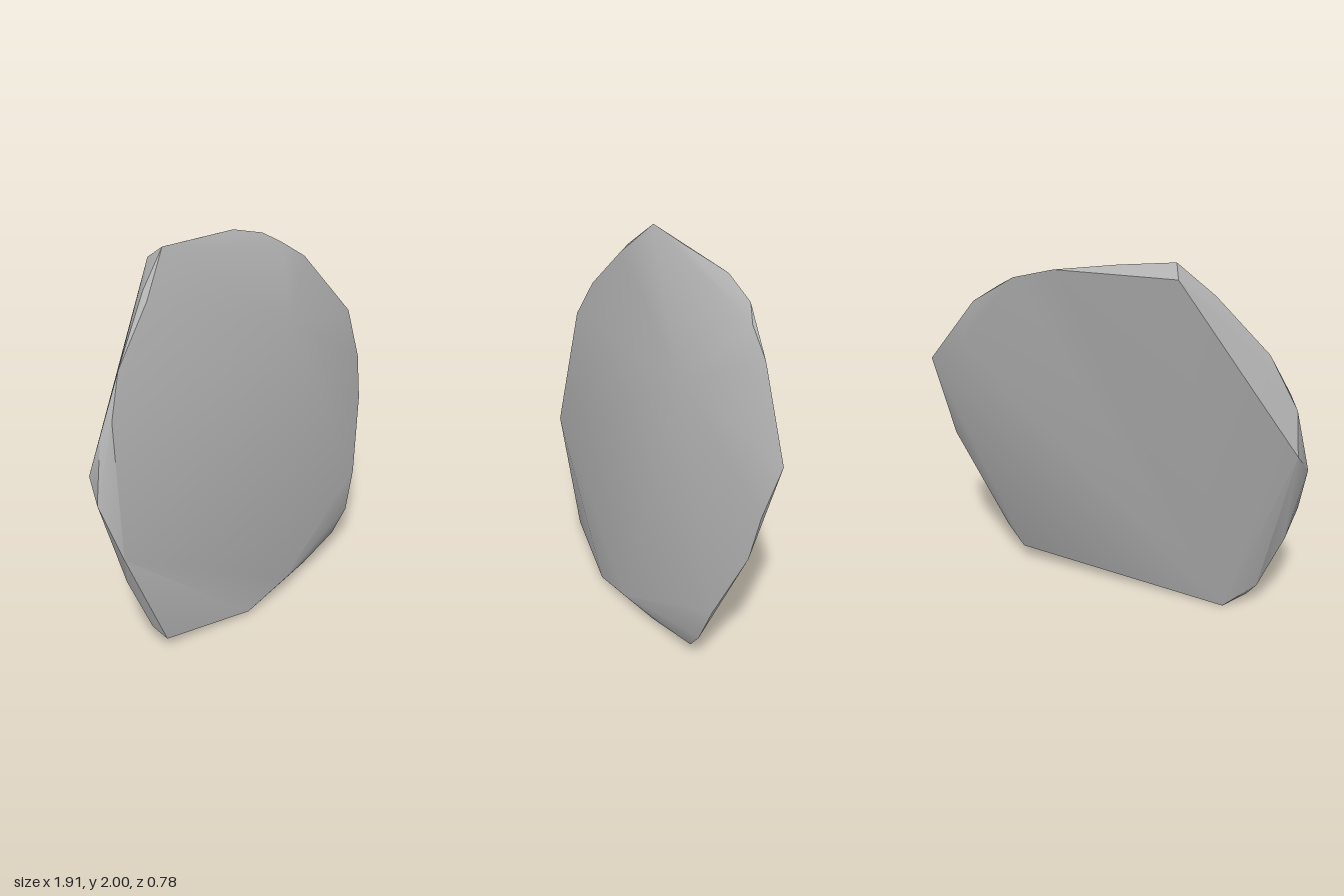
import * as THREE from 'three';
import { ConvexGeometry } from 'three/addons/geometries/ConvexGeometry.js';
import { toCreasedNormals } from 'three/addons/utils/BufferGeometryUtils.js';

export function createModel() {
  const group = new THREE.Group();
  group.name = 'rock';
  const stone = new THREE.MeshStandardMaterial({ color: 0xb0b0b0 });
  stone.name = 'grey stone';

  // corners of the weathered slab, by region
  const crown = [[-0.39, 2, -0.07], [-0.44, 1.94, -0.13], [-0.13, 1.97, -0.18], [0.15, 1.93, -0.32],
    [0.36, 1.865, -0.37], [0.47, 1.8, -0.35], [0.63, 1.69, -0.37]];
  const leftEdge = [[0.7, 1.46, -0.39], [0.945, 1.31, -0.375], [0.955, 1.06, -0.28],
    [0.94, 0.82, -0.23], [0.82, 0.43, -0.095], [0.745, 0.22, -0.05]];
  const base = [[0.645, 0.1, -0.035], [0.35, 0.06, 0.1], [0.17, 0.09, 0.21],
    [-0.12, 0.02, 0.29], [-0.54, 0, 0.23], [-0.63, 0.06, 0.33]];
  const rightEdge = [[-0.7, 0.15, 0.31], [-0.84, 0.48, 0.33], [-0.875, 0.65, 0.39], [-0.96, 0.93, 0.3],
    [-0.95, 1.04, 0.2], [-0.905, 1.26, 0.25], [-0.85, 1.33, 0.27], [-0.77, 1.54, 0.19],
    [-0.55, 1.84, 0.03], [-0.55, 1.8, 0.07]];
  const frontRidge = [[0.33, 1.47, -0.04]];

  const points = [...crown, ...leftEdge, ...base, ...rightEdge, ...frontRidge]
    .map((p) => new THREE.Vector3(...p));

  // broad faces blend softly, the rim stays sharp
  const slab = new THREE.Mesh(toCreasedNormals(new ConvexGeometry(points), 0.55), stone);
  slab.name = 'stoneSlab';
  group.add(slab);
  return group;
}
